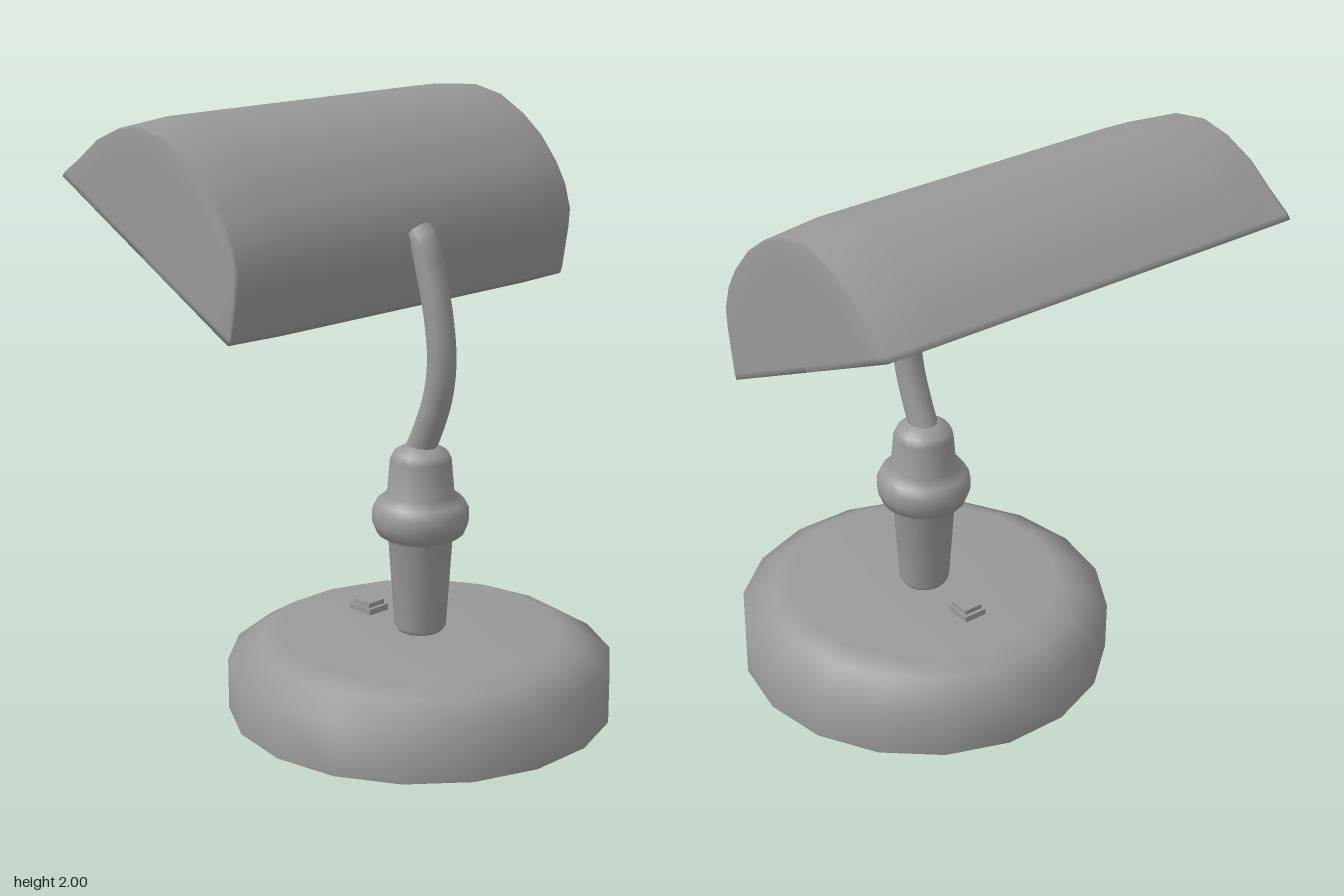
import * as THREE from 'three';

const solid = new THREE.MeshStandardMaterial({ color: 0x999999 });
const open = new THREE.MeshStandardMaterial({ color: 0x999999, side: THREE.DoubleSide });
const BASE_Z = 0.125;

function addPart(parent, name, geometry, material = solid) {
  const mesh = new THREE.Mesh(geometry, material);
  mesh.name = name;
  parent.add(mesh);
  return mesh;
}

// Turned part from [radius, y] pairs listed bottom to top
function turned(profile, sides) {
  const points = profile.map(([r, y]) => new THREE.Vector2(r, y));
  return new THREE.LatheGeometry(points, sides, Math.PI / 2);
}

// Hollow half-barrel shade: x along its length, z across the opening, y out of it
function shadeGeometry() {
  const lip = 0.02;
  const profile = [
    [-0.462, 0], [-0.46, lip], [-0.432, 0.172], [-0.405, 0.236], [-0.341, 0.302], [-0.266, 0.349],
    [-0.157, 0.394], [-0.046, 0.414], [0.075, 0.415], [0.2, 0.378], [0.289, 0.312],
    [0.373, 0.212], [0.425, 0.11], [0.457, lip], [0.462, 0],
  ];
  // Stations [x, inset, cap]; cap falls to zero to close each end
  const half = [[0.755, 0.06, 0], [0.755, 0.06, 0.8], [0.755, 0.06, 1], [0.745, 0.045, 1], [0.55, 0, 1]];
  const stations = [
    ...half.map(([x, inset, cap]) => [-x, inset, cap]),
    ...half.slice().reverse(),
  ];
  // Each closed section runs over the outer skin and back along the inner skin
  const loop = [
    ...profile.map(p => [...p, 1]),
    ...profile.slice().reverse().map(p => [...p, 0.95]),
  ];
  const n = loop.length, positions = [], index = [];
  for (const [x, inset, cap] of stations) {
    for (const [u, v, skin] of loop) {
      // The rim is drawn in less than the crown
      const scale = cap * (1 - inset * (v <= lip ? 0.3 : 1)) * skin;
      const y = v === 0 ? 0 : lip + (v - lip) * scale;
      positions.push(x * (skin < 1 ? 0.972 : 1), y, -u * scale);
    }
  }
  for (let i = 0; i < stations.length - 1; i++) {
    for (let j = 0; j < n; j++) {
      const k = (j + 1) % n;
      const a = i * n + j, b = a + n, c = i * n + k, d = c + n;
      index.push(a, b, d, a, d, c);
    }
  }
  const geometry = new THREE.BufferGeometry();
  geometry.setAttribute('position', new THREE.Float32BufferAttribute(positions, 3));
  geometry.setIndex(index);
  geometry.computeVertexNormals();
  return geometry;
}

export function createModel() {
  const lamp = new THREE.Group();
  lamp.name = 'deskLamp';

  // Hollow foot, open underneath
  addPart(lamp, 'base', turned([
    [0.645, 0], [0.645, 0.175], [0.543, 0.238], [0.47, 0.267], [0.075, 0.267],
  ], 18), open).position.z = BASE_Z;

  // Turned stem with a round collar
  addPart(lamp, 'stem', turned([
    [0.075, 0.267], [0.087, 0.285], [0.107, 0.585], [0.145, 0.61], [0.161, 0.65], [0.161, 0.69],
    [0.145, 0.72], [0.112, 0.745], [0.102, 0.86], [0.09, 0.885], [0.05, 0.91], [0, 0.912],
  ], 18), open).position.z = BASE_Z;

  // Two-step switch behind the stem
  const lampSwitch = new THREE.Group();
  lampSwitch.name = 'switch';
  addPart(lampSwitch, 'switchPlate', new THREE.BoxGeometry(0.085, 0.026, 0.1)).position.y = 0.275;
  addPart(lampSwitch, 'switchButton', new THREE.BoxGeometry(0.07, 0.02, 0.075)).position.y = 0.294;
  lampSwitch.position.z = -0.123;
  lamp.add(lampSwitch);

  // Bent arm from the stem to the shade
  const armPath = new THREE.CatmullRomCurve3([
    [0.88, 0.115], [0.95, 0.15], [1.08, 0.2], [1.2, 0.218], [1.34, 0.205],
    [1.5, 0.165], [1.59, 0.137], [1.615, 0.112],
  ].map(([y, z]) => new THREE.Vector3(0, y, z)));
  addPart(lamp, 'arm', new THREE.TubeGeometry(armPath, 28, 0.049, 12), open);

  // Tilted head: shade and tube bulb
  const head = new THREE.Group();
  head.name = 'head';
  head.position.set(0, 1.57, -0.347);
  head.rotation.x = Math.atan2(0.426, 0.82);
  addPart(head, 'shade', shadeGeometry());
  const bulb = addPart(head, 'bulb', new THREE.CapsuleGeometry(0.05, 1.34, 4, 12));
  bulb.rotation.z = Math.PI / 2;
  bulb.position.y = 0.055;
  lamp.add(head);

  return lamp;
}
